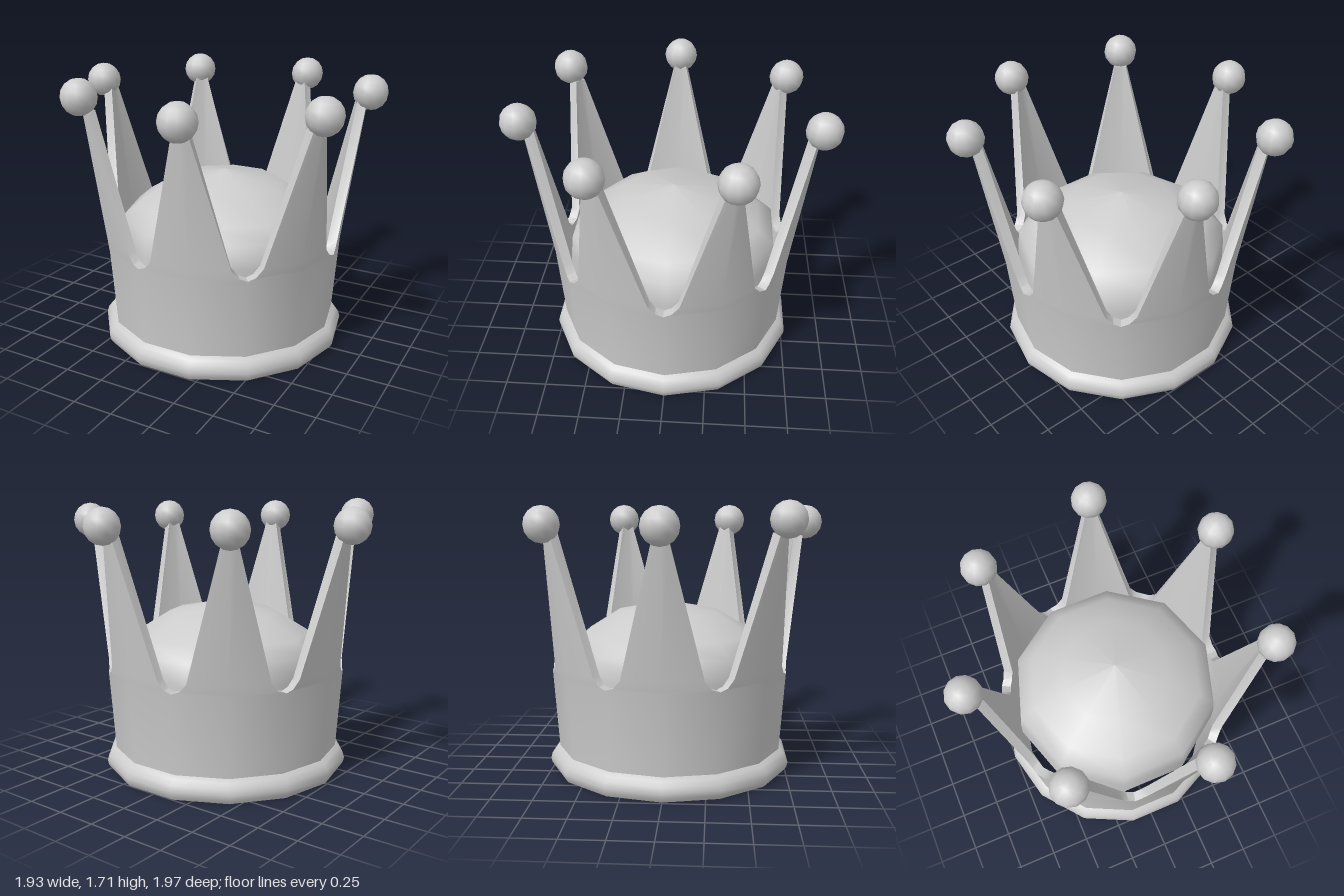
import * as THREE from 'three';
import { toCreasedNormals } from 'three/addons/utils/BufferGeometryUtils.js';

const SPIKES = 7;
const PITCH = (Math.PI * 2) / SPIKES;
const HALF = PITCH / 2;
const CX = 0.03;            // crown axis
const THICK = 0.06;

// Rows of the wall: height, half-angle of one spike, outer radius
const ROWS = [
  [0.0, HALF, 0.718],
  [0.14, HALF, 0.727],
  [0.635, HALF, 0.762],
  [0.65, 0.385, 0.765],
  [0.70, 0.325, 0.771],
  [1.53, 0.045, 0.885],
];

const spikeAngle = (i) => Math.PI + i * PITCH;

// Radius along the flat facet running from spike centre to valley
const facet = (r, a) => (r * Math.cos(HALF / 2)) / Math.cos(Math.abs(a) - HALF / 2);

// Six-point section of one spike: outer side, then inner side back again
function section(i, [y, w, r]) {
  const point = (s, radius) => {
    const a = spikeAngle(i) + s * w;
    const d = facet(radius, s * w);
    return [Math.cos(a) * d, y, -Math.sin(a) * d];
  };
  return [
    ...[-1, 0, 1].map((s) => point(s, r)),
    ...[1, 0, -1].map((s) => point(s, r - THICK)),
  ];
}

function wallGeometry() {
  const pos = [];
  const quad = (a, b, c, d) => pos.push(...a, ...b, ...c, ...a, ...c, ...d);
  for (let i = 0; i < SPIKES; i++) {
    const rings = ROWS.map((row) => section(i, row));
    for (let r = 0; r < rings.length - 1; r++) {
      for (let k = 0; k < 6; k++) {
        // neighbouring spikes share their sides below the valleys
        if (r < 2 && (k === 2 || k === 5)) continue;
        const n = (k + 1) % 6;
        quad(rings[r][k], rings[r][n], rings[r + 1][n], rings[r + 1][k]);
      }
    }
    const top = rings[rings.length - 1];
    quad(top[0], top[1], top[4], top[5]);
    quad(top[1], top[2], top[3], top[4]);
  }
  const g = new THREE.BufferGeometry();
  g.setAttribute('position', new THREE.Float32BufferAttribute(pos, 3));
  return toCreasedNormals(g, 0.55);
}

const lathe = (points, sides) => new THREE.LatheGeometry(
  points.map(([r, y]) => new THREE.Vector2(r, y)), sides, Math.PI / 2);

export function createModel() {
  const group = new THREE.Group();
  const material = new THREE.MeshStandardMaterial({ color: 0xcccccc });
  const thin = new THREE.MeshStandardMaterial({ color: 0xcccccc, side: THREE.DoubleSide });
  const add = (name, geometry, mat, x, y, z) => {
    const mesh = new THREE.Mesh(geometry, mat);
    mesh.name = name;
    mesh.position.set(x, y, z);
    group.add(mesh);
  };

  // Spiked wall
  add('spikedBand', wallGeometry(), material, CX, 0, 0);

  // Rounded rim around the foot
  const rim = lathe([
    [0.665, 0], [0.765, 0], [0.781, 0.025], [0.787, 0.055],
    [0.777, 0.09], [0.755, 0.12], [0.722, 0.14],
  ], 14);
  add('baseRim', toCreasedNormals(rim, 0.85), thin, CX, 0, 0);

  // Cap lining inside the wall
  const dome = lathe([
    [0.68, 0.5], [0.675, 0.65], [0.66, 0.79], [0.56, 0.87], [0.34, 1.005], [0, 1.075],
  ], 10);
  add('capDome', dome, thin, CX + 0.01, 0, -0.015);

  // Balls on the tips, one sitting slightly higher
  const ball = new THREE.SphereGeometry(0.109, 12, 8);
  for (let i = 0; i < SPIKES; i++) {
    const a = spikeAngle(i);
    const y = i === 1 ? 1.605 : 1.575;
    add('tipBall', ball, material, CX + Math.cos(a) * 0.9, y, -Math.sin(a) * 0.9);
  }
  return group;
}
